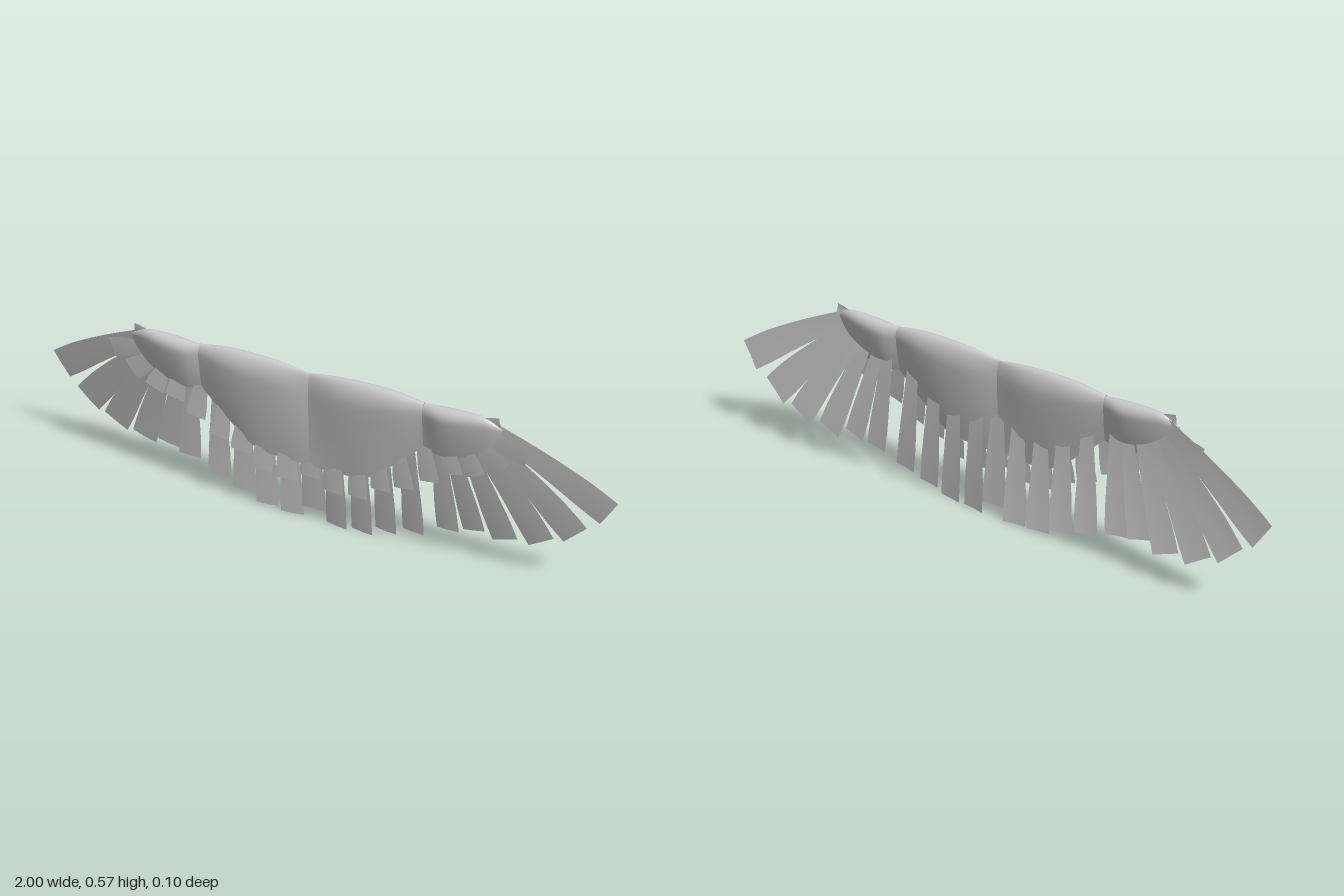
import * as THREE from 'three';

const plumage = new THREE.MeshStandardMaterial({ color: 0xcccccc, side: THREE.DoubleSide });
plumage.name = 'pale grey plumage';

const MID_Z = 0.017;

// Builds an indexed grid of rows x cols points from a rule.
function grid(rows, cols, point, flip) {
  const pos = [], idx = [];
  for (let i = 0; i <= rows; i++)
    for (let k = 0; k <= cols; k++) pos.push(...point(i / rows, k / cols));
  for (let i = 0; i < rows; i++)
    for (let k = 0; k < cols; k++) {
      const a = i * (cols + 1) + k, b = a + 1, c = a + cols + 1, d = c + 1;
      if (flip) idx.push(a, c, b, b, c, d);
      else idx.push(a, b, c, b, d, c);
    }
  const g = new THREE.BufferGeometry();
  g.setAttribute('position', new THREE.Float32BufferAttribute(pos, 3));
  g.setIndex(idx);
  g.computeVertexNormals();
  return g;
}

// Teardrop half thickness from the rounded top (0) to the thin lower edge (1).
function teardrop(t) {
  return t < 0.2 ? Math.sqrt(1 - (1 - t / 0.2) ** 2) : 1 - ((t - 0.2) / 0.8) ** 1.3;
}

// Fleshy arm segment; stations are [x, top, bottom, thickness].
function armSegment(stations, side) {
  const upper = new THREE.CatmullRomCurve3(stations.map(([x, top, , w]) => new THREE.Vector3(x, top, w)), false, 'catmullrom');
  const lower = new THREE.CatmullRomCurve3(stations.map(([x, , bot]) => new THREE.Vector3(x, bot, 0)), false, 'catmullrom');
  return grid(28, 36, (u, v) => {
    const p = upper.getPoint(u), q = lower.getPoint(u);
    const a = 2 * v - 1, t = a * a;
    const z = MID_Z + Math.sign(a) * 0.032 * p.z * teardrop(t);
    return [side * p.x, p.y + (q.y - p.y) * t, z];
  }, side < 0);
}

// Flat feather widening to a square tip; its inner edge is tilted backwards.
function feather([rx, ry, tx, ty, width, zTip], side, zRoot, tilt, bend = 0) {
  const dx = tx - rx, dy = ty - ry, len = Math.hypot(dx, dy);
  const nx = -dy / len, ny = dx / len;
  return grid(8, 2, (u, v) => {
    const e = v - 0.5;
    const w = width * (0.5 + 0.5 * Math.min(1, u * 1.25));
    const off = e * w + bend * Math.sin(Math.PI * u);
    return [
      side * (rx + dx * u + nx * off),
      ry + dy * u + ny * off,
      zRoot + (zTip - zRoot) * u + e * tilt * u + 0.002 * (1 - 4 * e * e) * u,
    ];
  }, side < 0);
}

const INNER_ARM = [
  [0, 0.553, 0.222, 0.35], [0.1, 0.565, 0.222, 0.85], [0.2, 0.569, 0.235, 1],
  [0.3, 0.566, 0.315, 0.88], [0.39, 0.554, 0.4, 0.45],
];
const HAND = [
  [0.39, 0.552, 0.4, 0.45], [0.45, 0.556, 0.385, 0.85], [0.52, 0.559, 0.4, 0.8],
  [0.59, 0.556, 0.44, 0.48], [0.645, 0.53, 0.51, 0.02],
];

// Feathers: [root x, root y, tip x, tip y, width, tip z]
const PRIMARIES = [
  [0.6, 0.525, 0.972, 0.302, 0.105, -0.046],
  [0.58, 0.49, 0.872, 0.198, 0.105, -0.044],
  [0.55, 0.47, 0.765, 0.14, 0.098, -0.044],
  [0.52, 0.46, 0.65, 0.117, 0.09, -0.037],
  [0.47, 0.45, 0.55, 0.125, 0.078, -0.027],
  [0.43, 0.46, 0.465, 0.105, 0.078, -0.021],
];
const SECONDARIES = [
  [0.33, 0.45, 0.35, 0.064, 0.078, -0.016],
  [0.245, 0.42, 0.255, 0.038, 0.078, -0.015],
  [0.165, 0.42, 0.171, 0.01, 0.078, -0.014],
  [0.08, 0.42, 0.08, 0.004, 0.078, -0.014],
];
const COVERTS = [
  [0.56, 0.5, 0.727, 0.455, 0.07, 0.01],
  [0.54, 0.48, 0.652, 0.393, 0.075, 0.015],
  [0.51, 0.47, 0.567, 0.35, 0.068, 0.018],
  [0.46, 0.46, 0.492, 0.333, 0.068, 0.018],
  [0.38, 0.46, 0.415, 0.285, 0.068, 0.018],
  [0.3, 0.4, 0.33, 0.235, 0.07, 0.018],
  [0.235, 0.36, 0.25, 0.205, 0.07, 0.018],
  [0.165, 0.34, 0.17, 0.155, 0.07, 0.018],
  [0.082, 0.34, 0.082, 0.148, 0.075, 0.018],
];

function add(parent, name, geometry) {
  const mesh = new THREE.Mesh(geometry, plumage);
  mesh.name = name;
  parent.add(mesh);
}

export function createModel() {
  const model = new THREE.Group();
  model.name = 'wings';

  for (const side of [1, -1]) {
    const wing = new THREE.Group();
    wing.name = side > 0 ? 'leftWing' : 'rightWing';
    add(wing, 'innerArm', armSegment(INNER_ARM, side));
    add(wing, 'hand', armSegment(HAND, side));
    PRIMARIES.forEach((f, i) => add(wing, 'primaryFeather', feather(f, side, 0.012, 0.008, i < 3 ? 0.008 : 0)));
    SECONDARIES.forEach((f) => add(wing, 'secondaryFeather', feather(f, side, 0.012, 0.012)));
    COVERTS.forEach((f) => add(wing, 'covertFeather', feather(f, side, MID_Z, 0.006)));
    // Small feather along the leading edge of the hand
    add(wing, 'thumbFeather', feather([0.54, 0.535, 0.635, 0.552, 0.03, 0.014], side, MID_Z, 0.004));
    model.add(wing);
  }

  // Feathers bridging the middle
  add(model, 'middleSecondaryFeather', feather([0, 0.4, 0, 0.045, 0.085, -0.012], 1, 0.012, 0));
  add(model, 'middleCovertFeather', feather([0, 0.34, 0, 0.18, 0.07, 0.016], 1, MID_Z, 0));

  return model;
}
